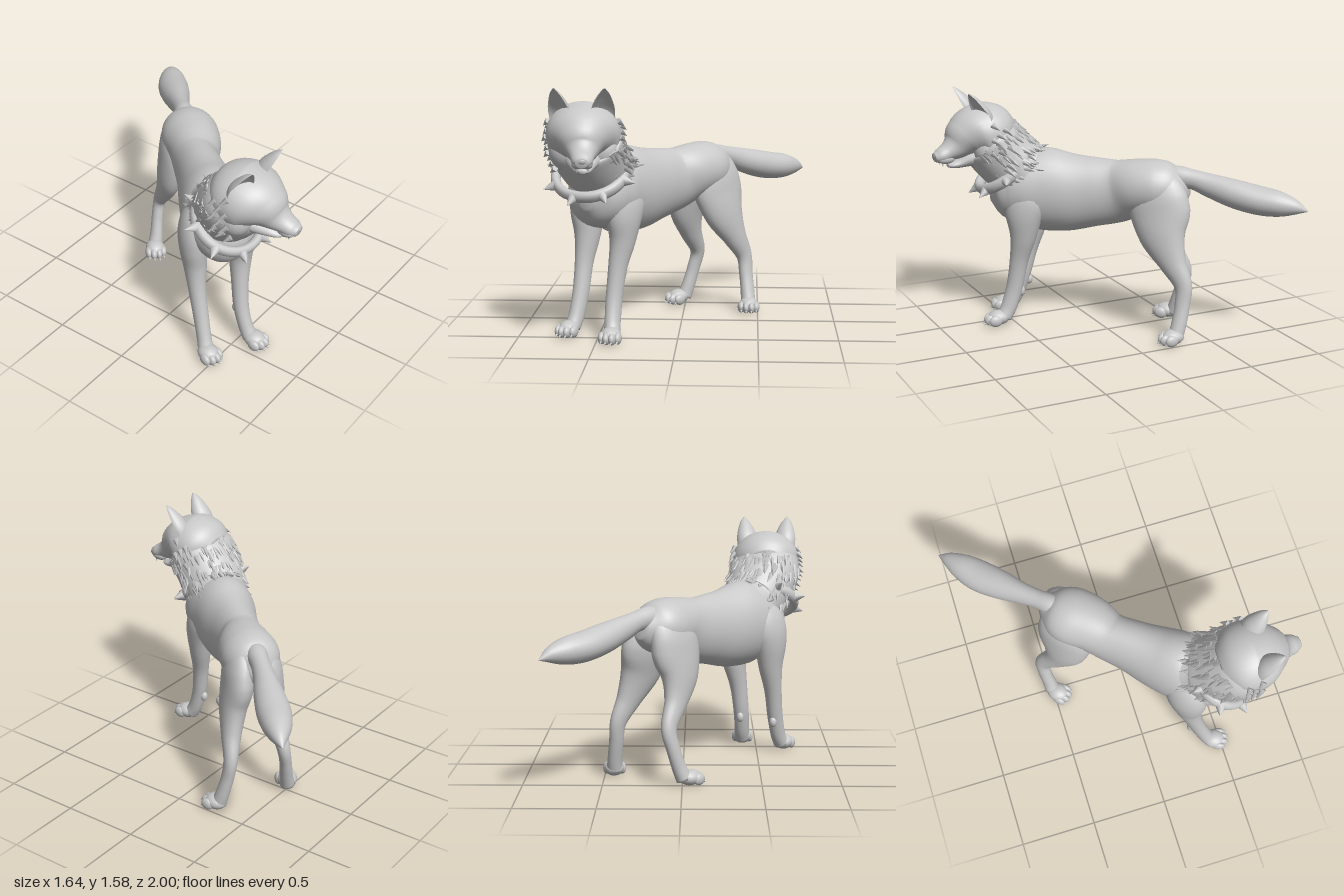
import * as THREE from 'three';

const fur = new THREE.MeshStandardMaterial({ color: 0xc8c8c8 });
fur.name = 'grey';
const V = (x, y, z) => new THREE.Vector3(x, y, z);
const bodySide = V(0.73, 0, 0.68);   // the body stands diagonally
const headSide = V(1, 0, 0);         // the head faces the front

// Smooth limb from sections [x, y, z, half width, half depth].
// dent scales the negative half of each section (hollow ears, fuller throat).
function limb(sections, side, dent = 1) {
  const path = new THREE.CatmullRomCurve3(sections.map(s => V(s[0], s[1], s[2])), false, 'catmullrom', 0.5);
  const size = new THREE.CatmullRomCurve3(sections.map(s => V(s[3], s[4], 0)), false, 'catmullrom', 0.5);
  return (t, ang) => {
    const tangent = path.getTangent(t);
    const s = side.clone().addScaledVector(tangent, -side.dot(tangent)).normalize();
    const u = tangent.clone().cross(s);
    const r = size.getPoint(t);
    const sin = Math.sin(ang);
    const offset = s.multiplyScalar(Math.max(r.x, 0.002) * Math.cos(ang))
      .addScaledVector(u, Math.max(r.y, 0.002) * sin * (sin < 0 ? dent : 1));
    const center = path.getPoint(t);
    return { center, tangent, offset, point: center.clone().add(offset) };
  };
}

function skin(surface, rows, cols) {
  const pos = [], index = [];
  for (let i = -1; i <= rows + 1; i++) {
    const t = Math.min(Math.max(i / rows, 0), 1);
    for (let j = 0; j < cols; j++) {
      const q = surface(t, j / cols * Math.PI * 2);
      const p = i < 0 || i > rows ? q.center : q.point;   // close both ends
      pos.push(p.x, p.y, p.z);
    }
  }
  for (let i = 0; i < rows + 2; i++) for (let j = 0; j < cols; j++) {
    const a = i * cols + j, b = i * cols + (j + 1) % cols;
    index.push(a, b, a + cols, b, b + cols, a + cols);
  }
  const g = new THREE.BufferGeometry();
  g.setAttribute('position', new THREE.Float32BufferAttribute(pos, 3));
  g.setIndex(index);
  g.computeVertexNormals();
  return g;
}

function add(parent, name, geometry, p = [0, 0, 0], scale = [1, 1, 1]) {
  const m = new THREE.Mesh(geometry, fur);
  m.name = name;
  m.position.set(...p);
  m.scale.set(...scale);
  parent.add(m);
  return m;
}

const ball = new THREE.SphereGeometry(1, 20, 14);
const spike = new THREE.ConeGeometry(1, 1, 10).translate(0, 0.5, 0);
const tuft = new THREE.ConeGeometry(1, 1, 5).translate(0, 0.4, 0);

// Point a cone from p along dir
function point(parent, name, geo, p, dir, radius, length) {
  const m = add(parent, name, geo, p.toArray(), [radius, length, radius]);
  m.quaternion.setFromUnitVectors(V(0, 1, 0), dir.clone().normalize());
}

// Paw with four toes and claws
function paw(parent, name, x, z, turn) {
  const g = new THREE.Group();
  g.name = name;
  g.position.set(x, 0, z);
  g.rotation.y = turn;
  add(g, 'pad', ball, [0, 0.055, 0.012], [0.064, 0.05, 0.075]);
  [-0.05, -0.018, 0.018, 0.05].forEach((tx, i) => {
    const tz = i % 3 ? 0.066 : 0.045;
    add(g, 'toe', ball, [tx, 0.044, tz], [0.024, 0.038, 0.045]);
    point(g, 'claw', spike, V(tx, 0.028, tz + 0.034), V(0, -0.6, 1), 0.009, 0.025);
  });
  parent.add(g);
}

export function createModel() {
  const wolf = new THREE.Group();
  wolf.name = 'wolf';

  // Trunk from rump to chest
  add(wolf, 'torso', skin(limb([
    [0.26, 1.0, -0.45, 0.05, 0.07], [0.21, 0.985, -0.39, 0.14, 0.14], [0.14, 0.98, -0.31, 0.185, 0.178],
    [0.05, 0.97, -0.2, 0.178, 0.185], [-0.06, 0.93, -0.1, 0.15, 0.21], [-0.17, 0.915, 0.03, 0.162, 0.235],
    [-0.28, 0.905, 0.16, 0.192, 0.265], [-0.38, 0.915, 0.28, 0.212, 0.28], [-0.45, 0.92, 0.38, 0.22, 0.25],
    [-0.5, 0.9, 0.47, 0.2, 0.21], [-0.535, 0.89, 0.55, 0.15, 0.155], [-0.555, 0.885, 0.605, 0.04, 0.05],
  ], bodySide), 66, 36));

  // Tail
  add(wolf, 'tail', skin(limb([
    [0.1, 1.03, -0.29, 0.06, 0.06], [0.2, 1.05, -0.39, 0.068, 0.075], [0.28, 1.04, -0.475, 0.06, 0.065],
    [0.36, 1.008, -0.56, 0.07, 0.078], [0.47, 0.968, -0.67, 0.094, 0.092], [0.58, 0.938, -0.78, 0.104, 0.093],
    [0.68, 0.926, -0.87, 0.087, 0.082], [0.76, 0.915, -0.94, 0.05, 0.05], [0.82, 0.895, -1, 0.003, 0.003],
  ], bodySide), 48, 24));

  // Legs, from shoulder or hip to paw
  const legs = {
    leftFrontLeg: [[-0.39, 1.09, 0.35, 0.015, 0.03], [-0.355, 0.98, 0.39, 0.07, 0.12], [-0.335, 0.88, 0.425, 0.092, 0.15],
      [-0.335, 0.77, 0.45, 0.09, 0.13], [-0.345, 0.62, 0.455, 0.074, 0.09], [-0.375, 0.45, 0.475, 0.056, 0.063],
      [-0.395, 0.27, 0.5, 0.05, 0.056], [-0.402, 0.13, 0.54, 0.047, 0.054], [-0.403, 0.05, 0.58, 0.05, 0.05]],
    rightFrontLeg: [[-0.5, 1.09, 0.24, 0.015, 0.03], [-0.54, 0.98, 0.245, 0.07, 0.12], [-0.57, 0.88, 0.255, 0.09, 0.14],
      [-0.582, 0.77, 0.265, 0.09, 0.125], [-0.585, 0.62, 0.28, 0.074, 0.09], [-0.605, 0.45, 0.31, 0.056, 0.063],
      [-0.622, 0.27, 0.35, 0.05, 0.056], [-0.645, 0.13, 0.39, 0.047, 0.054], [-0.67, 0.05, 0.425, 0.05, 0.05]],
    leftHindLeg: [[0.14, 1.11, -0.28, 0.015, 0.03], [0.19, 1.02, -0.27, 0.075, 0.14], [0.215, 0.93, -0.265, 0.095, 0.187],
      [0.23, 0.82, -0.265, 0.1, 0.2], [0.27, 0.68, -0.265, 0.088, 0.155], [0.34, 0.52, -0.3, 0.065, 0.092],
      [0.405, 0.38, -0.343, 0.046, 0.06], [0.42, 0.25, -0.33, 0.042, 0.05], [0.432, 0.13, -0.3, 0.044, 0.05],
      [0.437, 0.05, -0.275, 0.05, 0.05]],
    rightHindLeg: [[0.13, 1.11, -0.33, 0.015, 0.03], [0.09, 1.02, -0.36, 0.075, 0.14], [0.06, 0.93, -0.37, 0.092, 0.175],
      [0.04, 0.82, -0.367, 0.098, 0.185], [0.02, 0.68, -0.385, 0.085, 0.145], [0.04, 0.53, -0.44, 0.062, 0.088],
      [0.082, 0.38, -0.525, 0.044, 0.056], [0.055, 0.25, -0.53, 0.04, 0.047], [0.02, 0.13, -0.515, 0.043, 0.048],
      [-0.01, 0.05, -0.505, 0.05, 0.05]],
  };
  for (const [name, sections] of Object.entries(legs)) add(wolf, name, skin(limb(sections, bodySide), 54, 24));
  paw(wolf, 'leftFrontPaw', -0.405, 0.605, -0.1);
  paw(wolf, 'rightFrontPaw', -0.685, 0.445, -0.3);
  paw(wolf, 'leftHindPaw', 0.44, -0.265, 0);
  paw(wolf, 'rightHindPaw', -0.04, -0.485, -0.75);
  // Wrist pads behind the forelegs
  for (const [x, z] of [[-0.388, 0.458], [-0.607, 0.31]]) add(wolf, 'wristPad', ball, [x, 0.225, z], [0.025, 0.036, 0.026]);

  // Neck with its thick mane and full throat
  const neck = limb([
    [-0.3, 1.0, 0.16, 0.1, 0.13], [-0.37, 1.01, 0.25, 0.16, 0.16], [-0.45, 1.03, 0.38, 0.2, 0.19],
    [-0.5, 1.1, 0.46, 0.22, 0.2], [-0.54, 1.19, 0.54, 0.235, 0.2], [-0.56, 1.27, 0.61, 0.228, 0.185],
    [-0.56, 1.32, 0.67, 0.15, 0.13],
  ], V(0.95, 0, 0.3), 1.1);
  add(wolf, 'neck', skin(neck, 42, 36));

  // Fur tufts swept back over the mane and withers
  let seed = 7;
  const rnd = () => (seed = (seed * 16807) % 2147483647) / 2147483647;
  const mane = new THREE.Group();
  mane.name = 'mane';
  for (let i = 0; i < 150; i++) {
    const t = 0.26 + rnd() * 0.56;
    const q = neck(t, -0.6 + rnd() * (Math.PI + 1.2));
    const out = q.offset.clone().normalize();
    const base = q.point.addScaledVector(out, -0.012);
    const dir = out.multiplyScalar(0.15 + rnd() * 0.3).addScaledVector(q.tangent, -1);
    dir.x += (rnd() - 0.5) * 0.3;
    point(mane, 'furTuft', tuft, base, dir, 0.016 + rnd() * 0.012, 0.055 + rnd() * 0.045);
  }
  wolf.add(mane);

  // Head and muzzle
  const head = new THREE.Group();
  head.name = 'head';
  add(head, 'skull', skin(limb([
    [-0.56, 1.28, 0.46, 0.13, 0.1], [-0.56, 1.3, 0.55, 0.21, 0.175], [-0.56, 1.3, 0.64, 0.226, 0.198],
    [-0.557, 1.297, 0.715, 0.21, 0.172], [-0.55, 1.268, 0.785, 0.155, 0.138], [-0.542, 1.222, 0.845, 0.1, 0.09],
    [-0.536, 1.193, 0.9, 0.073, 0.06], [-0.53, 1.172, 0.955, 0.06, 0.046], [-0.528, 1.165, 0.992, 0.036, 0.028],
  ], headSide), 54, 32));
  add(head, 'lowerJaw', skin(limb([
    [-0.555, 1.17, 0.64, 0.13, 0.1], [-0.55, 1.145, 0.74, 0.105, 0.065], [-0.542, 1.115, 0.82, 0.065, 0.036],
    [-0.535, 1.105, 0.87, 0.045, 0.022], [-0.533, 1.105, 0.9, 0.02, 0.012],
  ], headSide), 24, 20));
  add(head, 'nose', ball, [-0.527, 1.178, 0.972], [0.038, 0.026, 0.027]);
  for (const s of [-1, 1]) {
    const cx = -0.555;
    add(head, 'brow', ball, [cx + s * 0.08, 1.358, 0.765], [0.06, 0.022, 0.035]).rotation.z = s * 0.25;
    add(head, 'eye', ball, [cx + s * 0.085, 1.312, 0.798], [0.022, 0.013, 0.012]);
    add(head, 'jowl', ball, [cx + s * 0.11, 1.2, 0.645], [0.105, 0.12, 0.1]);
    add(head, 'lip', ball, [-0.533 + s * 0.032, 1.155, 0.92], [0.03, 0.032, 0.06]);
    point(head, 'fang', spike, V(-0.53 + s * 0.035, 1.135, 0.945), V(0, -1, 0), 0.008, 0.03);
    // Ear with a hollow front
    const ex = -0.565;
    add(head, s < 0 ? 'rightEar' : 'leftEar', skin(limb([
      [ex + s * 0.12, 1.36, 0.67, 0.078, 0.065], [ex + s * 0.13, 1.43, 0.695, 0.077, 0.064],
      [ex + s * 0.138, 1.49, 0.73, 0.061, 0.052], [ex + s * 0.146, 1.545, 0.762, 0.035, 0.03],
      [ex + s * 0.15, 1.582, 0.785, 0.006, 0.006],
    ], V(1, 0, -s * 0.45).normalize(), -0.45), 24, 24));
    // Pointed cheek fur
    for (let i = 0; i < 10; i++) {
      const y = 1.09 + i * 0.032;
      const w = 0.225 * Math.sqrt(1 - ((y - 1.28) / 0.3) ** 2);
      point(head, 'cheekTuft', tuft, V(-0.56 + s * w, y, 0.65 - (i % 3) * 0.04), V(s * 0.65, -0.6, -0.7), 0.022, 0.065);
    }
  }
  wolf.add(head);

  // Spiked collar, sloping down towards the chest
  const collar = new THREE.Group();
  collar.name = 'collar';
  collar.position.set(-0.535, 1.04, 0.495);
  collar.rotation.set(0.6, 0, 0.1);
  const band = new THREE.TorusGeometry(1, 0.14, 12, 56).rotateX(Math.PI / 2);
  add(collar, 'band', band, [0, 0, 0], [0.218, 0.28, 0.212]);
  for (let i = 0; i < 8; i++) {
    const a = (i + 0.5) / 8 * Math.PI * 2;
    const d = V(Math.cos(a), 0, Math.sin(a));
    point(collar, 'collarSpike', spike, V(d.x * 0.23, 0, d.z * 0.222), d, 0.036, 0.08);
  }
  wolf.add(collar);
  return wolf;
}
